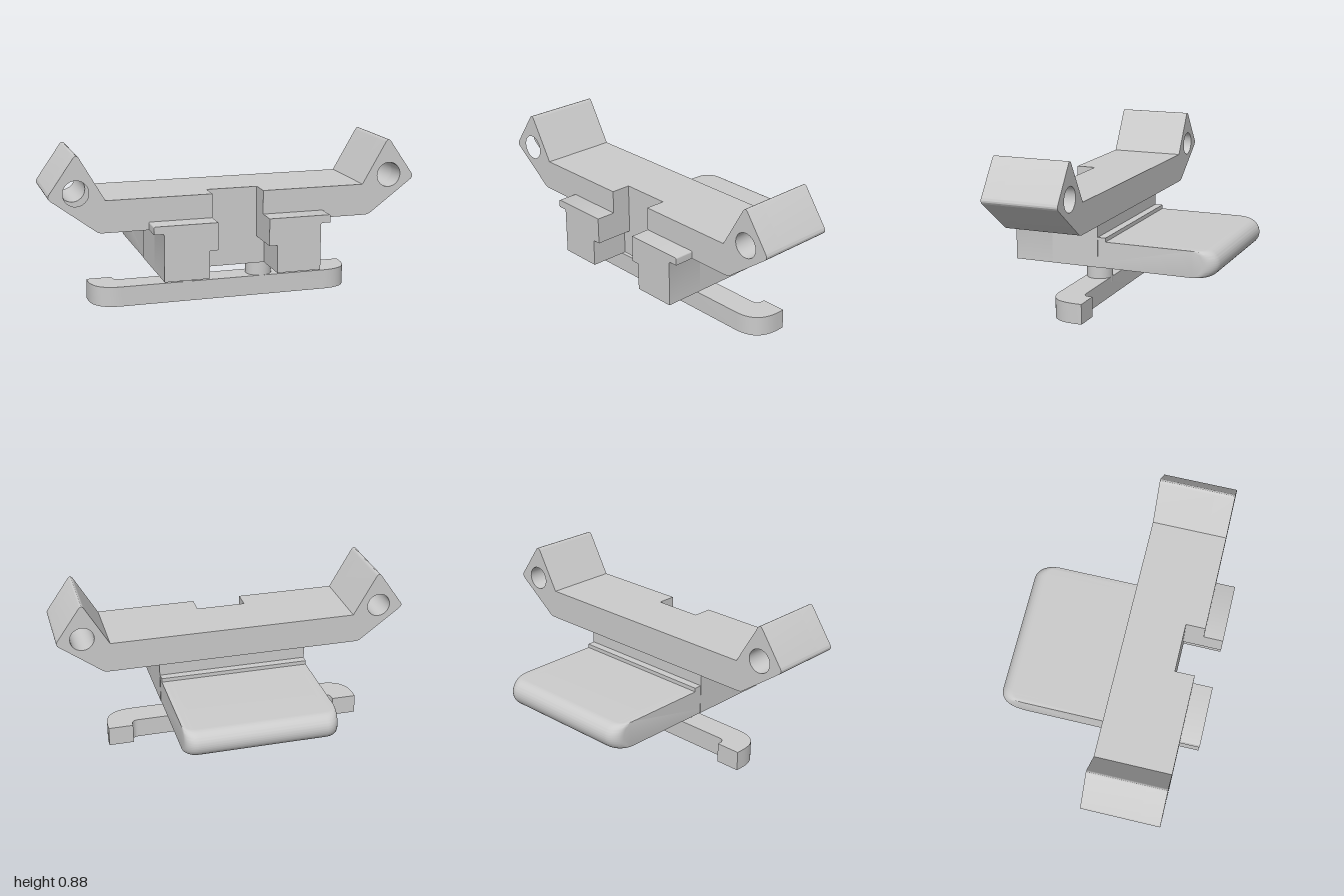
import * as THREE from 'three';
import { toCreasedNormals } from 'three/addons/utils/BufferGeometryUtils.js';

const material = new THREE.MeshStandardMaterial({ color: 0xcccccc });

function add(group, name, geometry) {
  const mesh = new THREE.Mesh(toCreasedNormals(geometry, 0.6), material);
  mesh.name = name;
  group.add(mesh);
  return mesh;
}

// Closed outline from [x, y, cornerRadius] points
function outline(points) {
  const shape = new THREE.Shape();
  const n = points.length;
  points.forEach(([x, y, r = 0], i) => {
    const corner = new THREE.Vector2(x, y);
    const toward = ([px, py]) =>
      corner.clone().add(new THREE.Vector2(px - x, py - y).setLength(r));
    const a = toward(points[(i + n - 1) % n]);
    const b = toward(points[(i + 1) % n]);
    if (i === 0) shape.moveTo(a.x, a.y);
    else shape.lineTo(a.x, a.y);
    if (r > 0) shape.quadraticCurveTo(x, y, b.x, b.y);
  });
  shape.closePath();
  return shape;
}

const flip = (points, s) => points.map(([x, y, r]) => [x * s, y, r]);
const mirrored = (half) => [...half, ...flip(half, -1).reverse()];

function extrude(shape, z0, z1) {
  return new THREE.ExtrudeGeometry(shape, {
    depth: z1 - z0, bevelEnabled: false, curveSegments: 16,
  }).translate(0, 0, z0);
}

function boreHole(shape, x) {
  shape.holes.push(new THREE.Path().absarc(x, 0.69, 0.067, 0, Math.PI * 2, true));
}

// Flat tongue with a half-round rear edge and rounded plan corners
function tongueGeometry() {
  const r = 0.0725, halfWidth = 0.425, n = 8;
  const profile = new THREE.Shape();
  profile.moveTo(-0.2, 0.22);
  profile.lineTo(0.58 - r, 0.22);
  profile.absarc(0.58 - r, 0.22 + r, r, -Math.PI / 2, Math.PI / 2, false);
  profile.lineTo(-0.2, 0.365);
  profile.closePath();
  const steps = 2 * n + 1;
  const g = new THREE.ExtrudeGeometry(profile, {
    depth: steps, steps, bevelEnabled: false, curveSegments: 20,
  });
  const p = g.attributes.position;
  for (let i = 0; i < p.count; i++) {
    const step = Math.round(p.getZ(i));
    const side = step <= n ? -1 : 1;
    const t = (step <= n ? n - step : step - n - 1) / n * Math.PI / 2;
    const x = side * (halfWidth - r + r * Math.sin(t));
    const inset = r * (1 - Math.cos(t));
    const u = p.getX(i);
    p.setXYZ(i, x, p.getY(i), -(u > 0.3 ? u - inset : u));
  }
  return g;
}

export function createModel() {
  const group = new THREE.Group();

  // Crossbar with raised, bored wing tips
  const wing = [
    [0.742, 0.475, 0.02], [1.006, 0.672, 0.025], [0.85, 0.895, 0.03], [0.705, 0.645],
  ];
  const rear = outline(mirrored(wing));
  [1, -1].forEach((s) => boreHole(rear, s * 0.857));
  add(group, 'crossbar', extrude(rear, 0.045, 0.36));

  for (const s of [1, -1]) {
    // Front of the crossbar, split by the central slot
    const front = outline(flip([[0.14, 0.475], ...wing, [0.14, 0.645]], s));
    boreHole(front, s * 0.857);
    add(group, 'crossbarFront', extrude(front, 0.36, 0.47));

    // Front block with overhanging tab and undercut
    add(group, 'frontBlock', extrude(outline(flip([
      [0.14, 0.517], [0.14, 0.37], [0.185, 0.37], [0.185, 0.22],
      [0.427, 0.22], [0.427, 0.475, 0.01], [0.48, 0.475], [0.48, 0.517, 0.008],
    ], s)), 0.36, 0.58));

    // Pin joining the body to the lower arm
    add(group, 'pin', new THREE.CylinderGeometry(0.073, 0.073, 0.16, 40)
      .translate(s * 0.214, 0.16, 0.172));
  }

  // Central body, rear ridge and tongue
  add(group, 'body', new THREE.BoxGeometry(0.854, 0.265, 0.27).translate(0, 0.3525, 0.225));
  add(group, 'ridge', new THREE.BoxGeometry(0.85, 0.06, 0.06).translate(0, 0.357, 0.075));
  add(group, 'tongue', tongueGeometry());

  // Lower arm with ends hooked to the rear
  const arm = outline(mirrored([
    [0.6, 0.1, 0.04], [0.6, 0.045], [0.74, 0.045], [0.74, 0.245, 0.16],
  ]));
  add(group, 'lowerArm', extrude(arm, 0, 0.11).rotateX(Math.PI / 2).translate(0, 0.11, 0));

  return group;
}
